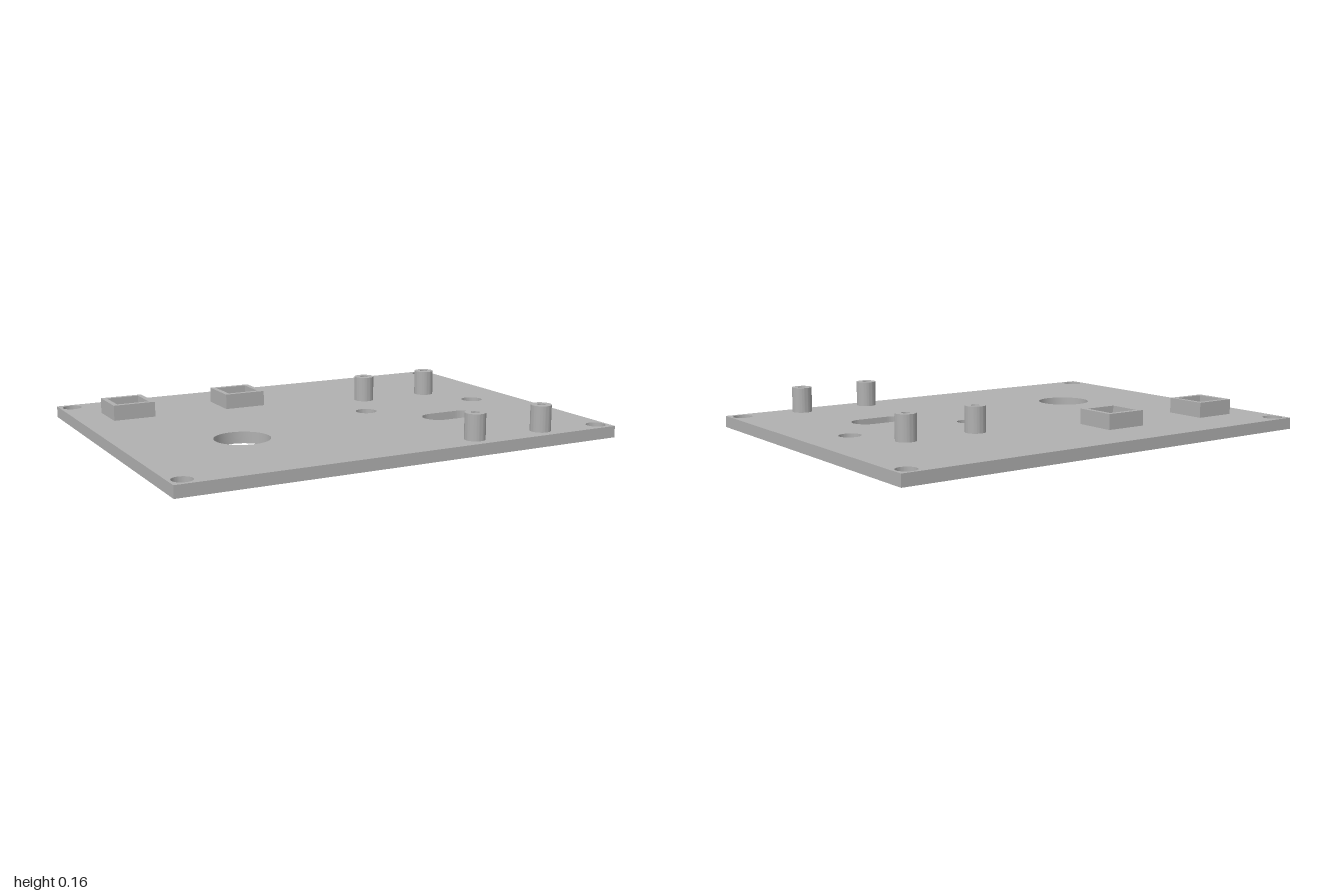
import * as THREE from 'three';
import { toCreasedNormals } from 'three/addons/utils/BufferGeometryUtils.js';

const PLATE_T = 0.05, HALF_X = 1, HALF_Z = 0.757;

const gray = new THREE.MeshStandardMaterial({ color: 0xb0b0b0 });
gray.name = 'plain gray';

// Outlines are drawn in plan, with shape y = -z
const rect = (hx, hz, C = THREE.Shape) =>
  new C([[-hx, -hz], [hx, -hz], [hx, hz], [-hx, hz]].map(([x, y]) => new THREE.Vector2(x, y)));

const circle = (x, z, r, C = THREE.Path) => new C().absarc(x, -z, r, 0, Math.PI * 2, false);

function slot(x, z, halfLength, r) {
  const d = halfLength - r;
  return new THREE.Path()
    .absarc(x + d, -z, r, -Math.PI / 2, Math.PI / 2, false)
    .absarc(x - d, -z, r, Math.PI / 2, Math.PI * 1.5, false)
    .closePath();
}

// Extrude a plan outline upward, keeping rims sharp and bores smooth
function raise(shape, height) {
  const geo = new THREE.ExtrudeGeometry(shape, { depth: height, bevelEnabled: false, curveSegments: 24 });
  geo.rotateX(-Math.PI / 2);
  return toCreasedNormals(geo, 0.6);
}

export function createModel() {
  const group = new THREE.Group();
  group.name = 'mountingPanel';
  const add = (name, geo, x = 0, y = 0, z = 0) => {
    const mesh = new THREE.Mesh(geo, gray);
    mesh.name = name;
    mesh.position.set(x, y, z);
    group.add(mesh);
  };

  const frameZ = -0.432, frameXs = [-0.767, -0.238];

  // Base plate with all through holes
  const plate = rect(HALF_X, HALF_Z);
  for (const x of [-0.945, 0.945])
    for (const z of [-0.702, 0.698]) plate.holes.push(circle(x, z, 0.042)); // corner screws
  for (const x of frameXs) plate.holes.push(circle(x, frameZ, 0.047)); // inside the frames
  for (const x of [0.21, 0.787]) plate.holes.push(circle(x, -0.002, 0.047)); // beside the slot
  plate.holes.push(circle(-0.5, 0.22, 0.118)); // large round opening
  plate.holes.push(slot(0.499, 0.249, 0.136, 0.067)); // rounded slot
  add('basePlate', raise(plate, PLATE_T));

  // Square raised frames
  const frame = rect(0.094, 0.094);
  frame.holes.push(rect(0.072, 0.072, THREE.Path));
  const frameGeo = raise(frame, 0.067);
  frameXs.forEach((x, i) => add(`squareFrame${i + 1}`, frameGeo, x, PLATE_T, frameZ));

  // Standoff posts with blind bores
  const post = circle(0, 0, 0.044, THREE.Shape);
  post.holes.push(circle(0, 0, 0.018));
  const postGeo = raise(post, 0.112);
  let n = 1;
  for (const x of [0.331, 0.664])
    for (const z of [-0.235, 0.676]) add(`standoff${n++}`, postGeo, x, PLATE_T, z);

  return group;
}
